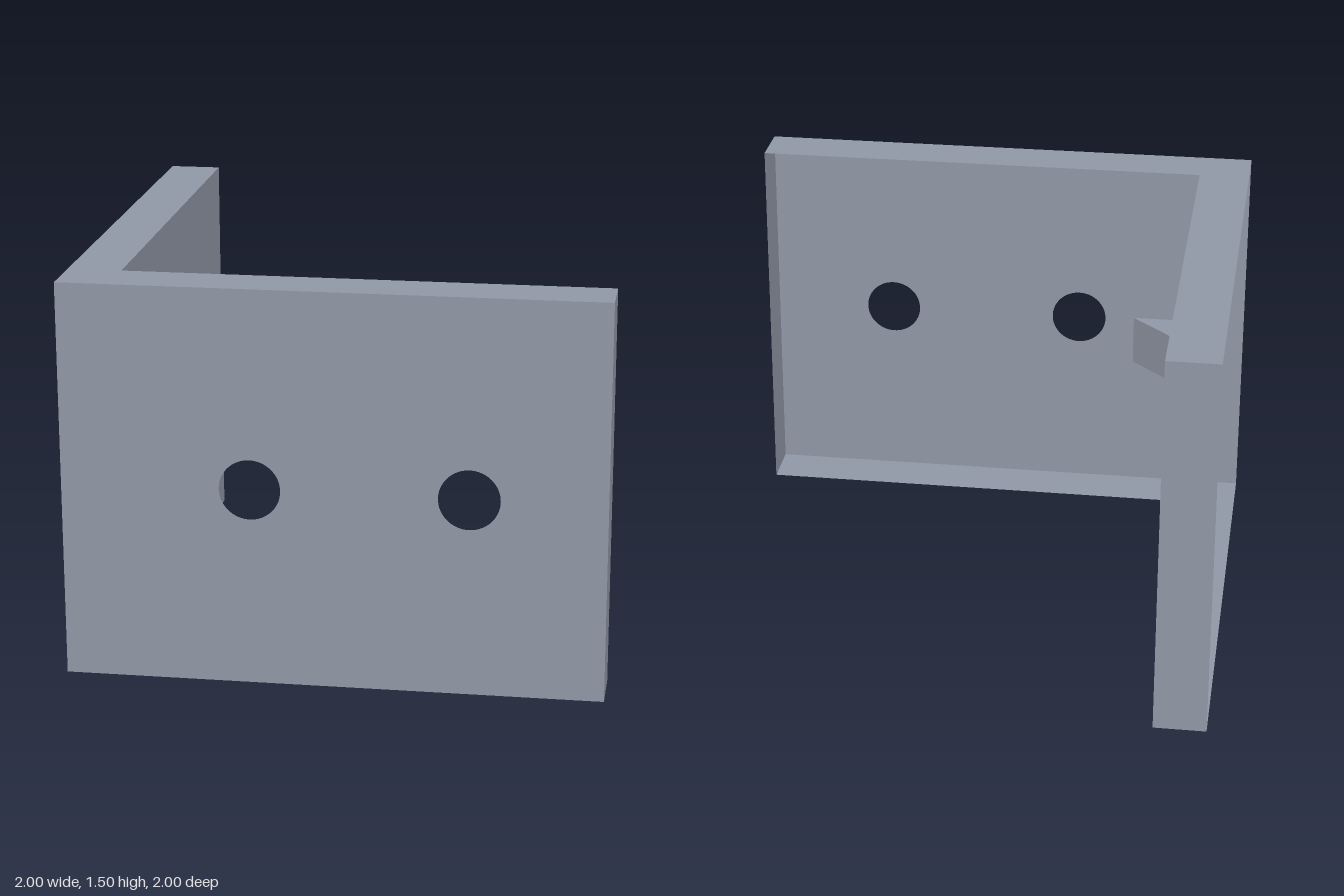
import * as THREE from 'three';

const H = 1.5;      // height
const IN = 0.8;     // inner faces of the angle
const G = 0.25;     // gusset leg
const G0 = 0.65, G1 = 0.85; // gusset bottom and top

export function createModel() {
  const group = new THREE.Group();
  const steel = new THREE.MeshStandardMaterial({ color: 0x9097a5, side: THREE.DoubleSide });
  steel.name = 'blue grey steel';

  const add = (name, geometry) => {
    const mesh = new THREE.Mesh(geometry, steel);
    mesh.name = name;
    group.add(mesh);
    return mesh;
  };

  // Flat outline with round holes at the given positions
  const panel = (points, holes = [], radius = 0) => {
    const shape = new THREE.Shape(points.map(([x, y]) => new THREE.Vector2(x, y)));
    for (const x of holes) {
      const hole = new THREE.Path();
      hole.absarc(x, H / 2, radius, 0, Math.PI * 2, true);
      shape.holes.push(hole);
    }
    return new THREE.ShapeGeometry(shape, 32);
  };

  // Horizontal sheet from [x, z] points, facing up or down
  const sheet = (name, points, y, up) => {
    const s = up ? -1 : 1;
    const geometry = panel(points.map(([x, z]) => [x, s * z]));
    add(name, geometry.rotateX(s * Math.PI / 2).translate(0, y, 0));
  };

  // Front skin with two small holes
  add('frontPlate', panel([[-1, 0], [1, 0], [1, H], [-1, H]], [-0.3, 0.5], 0.113).translate(0, 0, 1));

  // Inner skin of the side flange, cut out where the gusset joins (u = -z)
  add('sideFlange', panel(
    [[-IN, 0], [1, 0], [1, H], [-IN, H], [-IN, G1], [G - IN, G1], [G - IN, G0], [-IN, G0]],
    [-0.3, 0.5], 0.212,
  ).rotateY(Math.PI / 2).translate(-IN, 0, 0));

  // L-shaped top and bottom edges
  const angle = [[-1, -1], [-IN, -1], [-IN, IN], [1, IN], [1, 1], [-1, 1]];
  sheet('topEdge', angle, H, true);
  sheet('bottomEdge', angle, 0, false);

  // End caps of both flanges
  add('frontPlateEnd', new THREE.PlaneGeometry(0.2, H).rotateY(Math.PI / 2).translate(1, H / 2, 0.9));
  add('sideFlangeEnd', new THREE.PlaneGeometry(0.2, H).rotateY(Math.PI).translate(-0.9, H / 2, -1));

  // Corner gusset: two triangles and a sloping face
  const triangle = [[-IN, IN], [-IN, IN - G], [G - IN, IN]];
  sheet('gussetTop', triangle, G1, true);
  sheet('gussetBottom', triangle, G0, false);
  add('gussetFace', new THREE.PlaneGeometry(G * Math.SQRT2, G1 - G0)
    .rotateY(Math.PI * 0.75)
    .translate(-IN + G / 2, (G0 + G1) / 2, IN - G / 2));

  return group;
}
